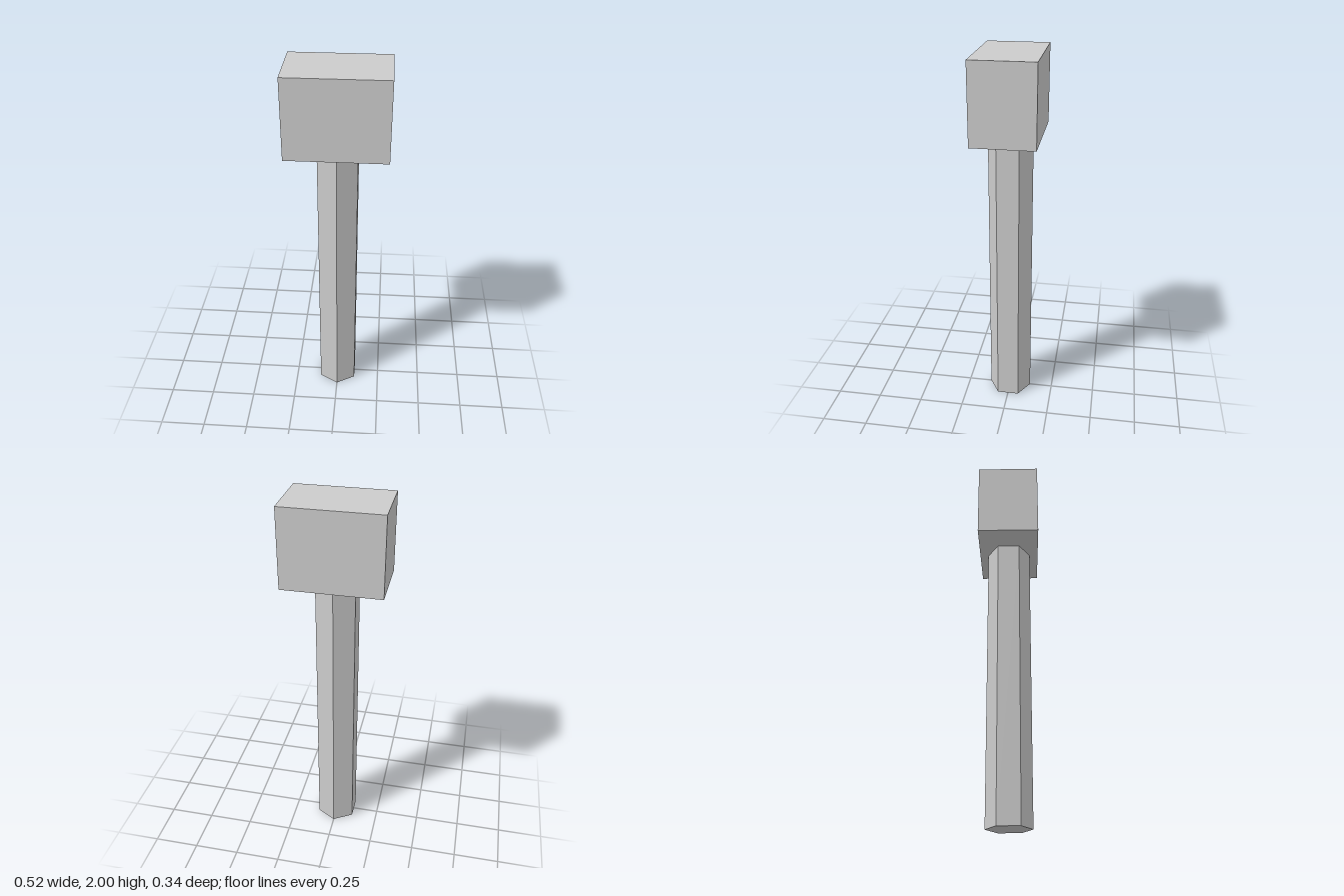
import * as THREE from 'three';

const HEAD_BOTTOM = 1.577;
const HEIGHT = 2;

export function createModel() {
  const model = new THREE.Group();
  model.name = 'mallet';
  const material = new THREE.MeshStandardMaterial({ color: 0xcccccc, flatShading: true });

  const addPart = (name, geometry, y) => {
    const mesh = new THREE.Mesh(geometry, material);
    mesh.name = name;
    mesh.position.y = y;
    model.add(mesh);
  };

  // Hexagonal handle, with corners facing front and back
  addPart('handle', new THREE.CylinderGeometry(0.12, 0.12, HEAD_BOTTOM, 6), HEAD_BOTTOM / 2);

  // Block head resting on the handle
  const headHeight = HEIGHT - HEAD_BOTTOM;
  addPart('head', new THREE.BoxGeometry(0.524, headHeight, 0.335), HEAD_BOTTOM + headHeight / 2);

  return model;
}
